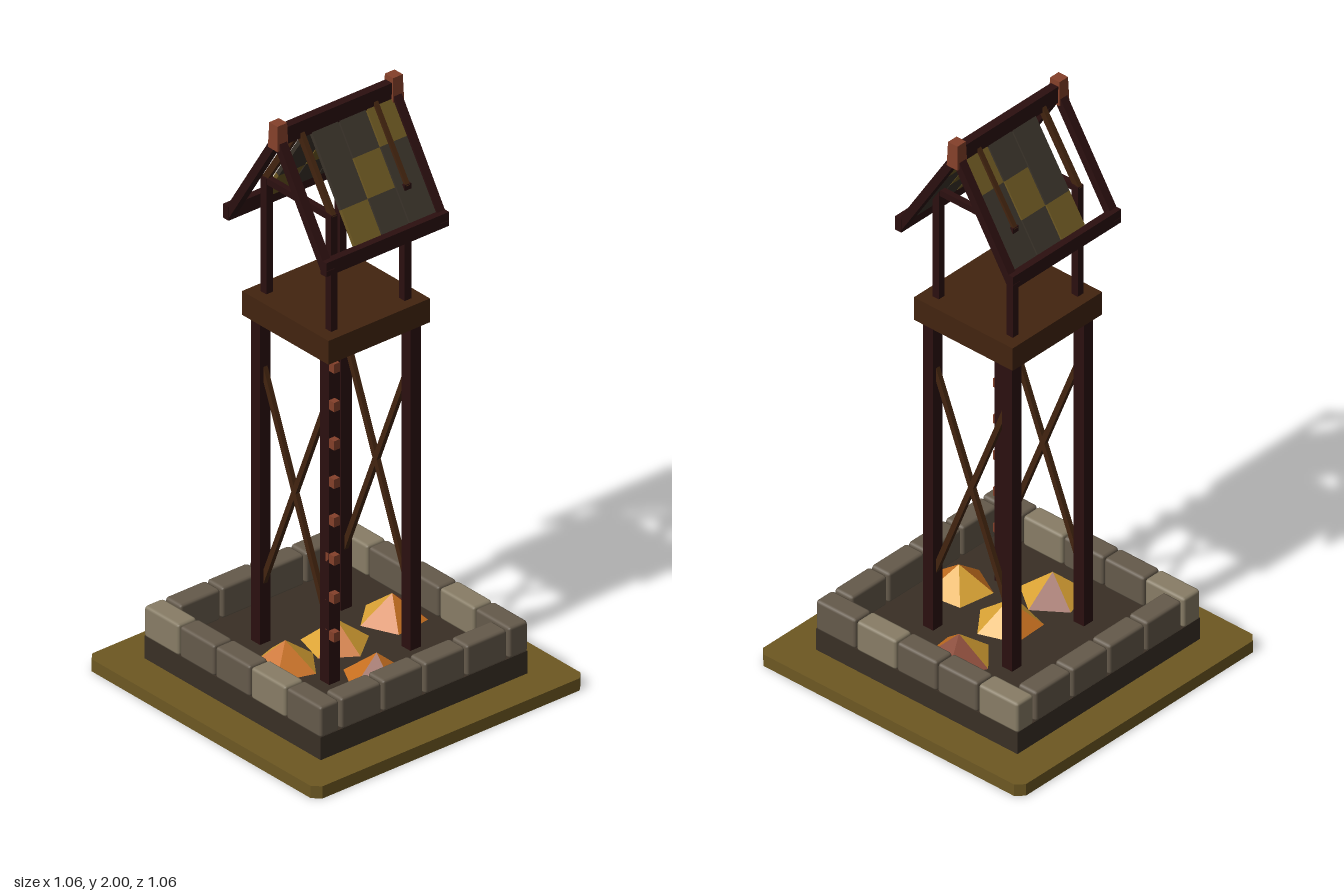
import * as THREE from 'three';
import { RoundedBoxGeometry } from 'three/addons/geometries/RoundedBoxGeometry.js';

const mat = (name, color, flatShading = false) => {
  const m = new THREE.MeshStandardMaterial({ color, flatShading });
  m.name = name;
  return m;
};

export function createModel() {
  const olive = mat('olive', 0x6d5822);
  const earth = mat('dark earth', 0x392f25);
  const stone = mat('stone', 0x655a4b);
  const paleStone = mat('pale stone', 0x887d66);
  const timber = mat('dark timber', 0x2b0f0f);
  const plank = mat('brown plank', 0x42240f);
  const rust = mat('rust', 0x84402a, true);
  const orange = mat('orange', 0xc87020, true);
  const yellow = mat('yellow', 0xdca435, true);
  const slate = mat('dark tile', 0x3a332a);

  const model = new THREE.Group();
  model.name = 'watchtower';

  const add = (name, geometry, material, x = 0, y = 0, z = 0) => {
    const mesh = new THREE.Mesh(geometry, material);
    mesh.name = name;
    mesh.position.set(x, y, z);
    model.add(mesh);
    return mesh;
  };
  const box = (name, material, w, h, d, x, y, z) =>
    add(name, new THREE.BoxGeometry(w, h, d), material, x, y, z);
  // Box running between two points in a plane of constant z
  const beam = (name, material, [x1, y1], [x2, y2], z, thick, depth) => {
    const dx = x2 - x1, dy = y2 - y1;
    const mesh = box(name, material, thick, Math.hypot(dx, dy), depth, (x1 + x2) / 2, (y1 + y2) / 2, z);
    mesh.rotation.z = Math.atan2(-dx, dy);
    return mesh;
  };
  const sides = [-1, 1];

  // Ground slab with clipped corners
  const a = 0.532, b = 0.507;
  const outline = new THREE.Shape(
    [[a, -b], [a, b], [b, a], [-b, a], [-a, b], [-a, -b], [-b, -a], [b, -a]]
      .map(([x, y]) => new THREE.Vector2(x, y)));
  const slab = new THREE.ExtrudeGeometry(outline, { depth: 0.042, bevelEnabled: false });
  slab.rotateX(-Math.PI / 2);
  add('groundSlab', slab, olive);

  // Foundation
  box('foundation', earth, 0.815, 0.08, 0.815, 0, 0.08, 0);

  // Ring of wall stones
  const longStone = new RoundedBoxGeometry(0.16, 0.108, 0.074, 1, 0.01);
  const sideStone = new RoundedBoxGeometry(0.074, 0.108, 0.158, 1, 0.01);
  for (const s of sides) {
    for (let i = 0; i < 5; i++) {
      add('wallStone', longStone, i % 3 === 0 ? paleStone : stone, -0.329 + i * 0.1645, 0.17, s * 0.372);
    }
    for (let i = 0; i < 4; i++) {
      add('wallStone', sideStone, stone, s * 0.372, 0.17, -0.2475 + i * 0.165);
    }
  }

  // Faceted embers around and between the legs: x, z, turn, colour of each face
  const colours = [rust, orange, yellow];
  const embers = [
    [0.235, 0.04, 8, [0, 1, 2, 2, 1]],
    [-0.01, -0.23, 60, [1, 0, 0, 2, 1]],
    [0, 0.2, 36, [1, 2, 0, 2, 1]],
    [0, 0, 20, [1, 2, 2, 1, 2]],
  ];
  for (const [x, z, turn, faces] of embers) {
    const cone = new THREE.ConeGeometry(0.11, 0.085, 5, 1, true, THREE.MathUtils.degToRad(turn));
    cone.clearGroups();
    faces.forEach((c, i) => cone.addGroup(i * 3, 3, c));
    add('emberPile', cone, colours, x, 0.1615, z);
  }

  // Legs, cross braces and upper posts
  for (const z of sides) {
    for (const x of sides) {
      box('leg', timber, 0.042, 1.13, 0.042, x * 0.16, 0.675, z * 0.16);
      beam('crossBrace', plank, [x * 0.155, 0.31], [-x * 0.155, 1.09], z * 0.16, 0.018, 0.016);
      box('upperPost', timber, 0.026, 0.41, 0.026, x * 0.15, 1.515, z * 0.145);
    }
  }

  // Climbing pegs
  for (let i = 0; i < 8; i++) {
    box('climbingPeg', rust, 0.04, 0.032, 0.022, 0.184, 0.292 + i * 0.1325, 0.17);
  }

  // Lookout platform
  box('platform', plank, 0.4, 0.082, 0.4, 0, 1.281, 0);

  // Roof frame
  for (const z of sides) {
    box('tieBeam', timber, 0.3, 0.022, 0.02, 0, 1.71, z * 0.145);
    for (const x of sides) {
      beam('rafter', timber, [x * 0.228, 1.585], [0, 1.945], z * 0.226, 0.028, 0.03);
      beam('innerRafter', plank, [x * 0.155, 1.71], [0, 1.945], z * 0.145, 0.022, 0.016);
    }
    const finial = new THREE.CylinderGeometry(0.027, 0.031, 0.085, 4, 1, false, Math.PI / 4);
    finial.computeVertexNormals();
    add('finial', finial, rust, 0, 1.9575, z * 0.228);
  }
  for (const x of sides) box('eaveBeam', timber, 0.026, 0.048, 0.484, x * 0.226, 1.598, 0);
  box('ridgeBeam', timber, 0.03, 0.058, 0.46, 0, 1.953, 0);

  // Patchwork roof tiles, three columns by three rows on each slope
  const top = [0.004, 1.932], eave = [0.216, 1.607];
  const along = t => [0, 1].map(k => top[k] + (eave[k] - top[k]) * t);
  for (const s of sides) {
    for (let col = 0; col < 3; col++) {
      for (let row = 0; row < 3; row++) {
        const [x1, y1] = along(row / 3), [x2, y2] = along((row + 1) / 3);
        beam('roofTile', row === col ? olive : slate,
          [s * x1, y1], [s * x2, y2], -0.16 + col * 0.108, 0.014, 0.103);
      }
    }
  }

  return model;
}
